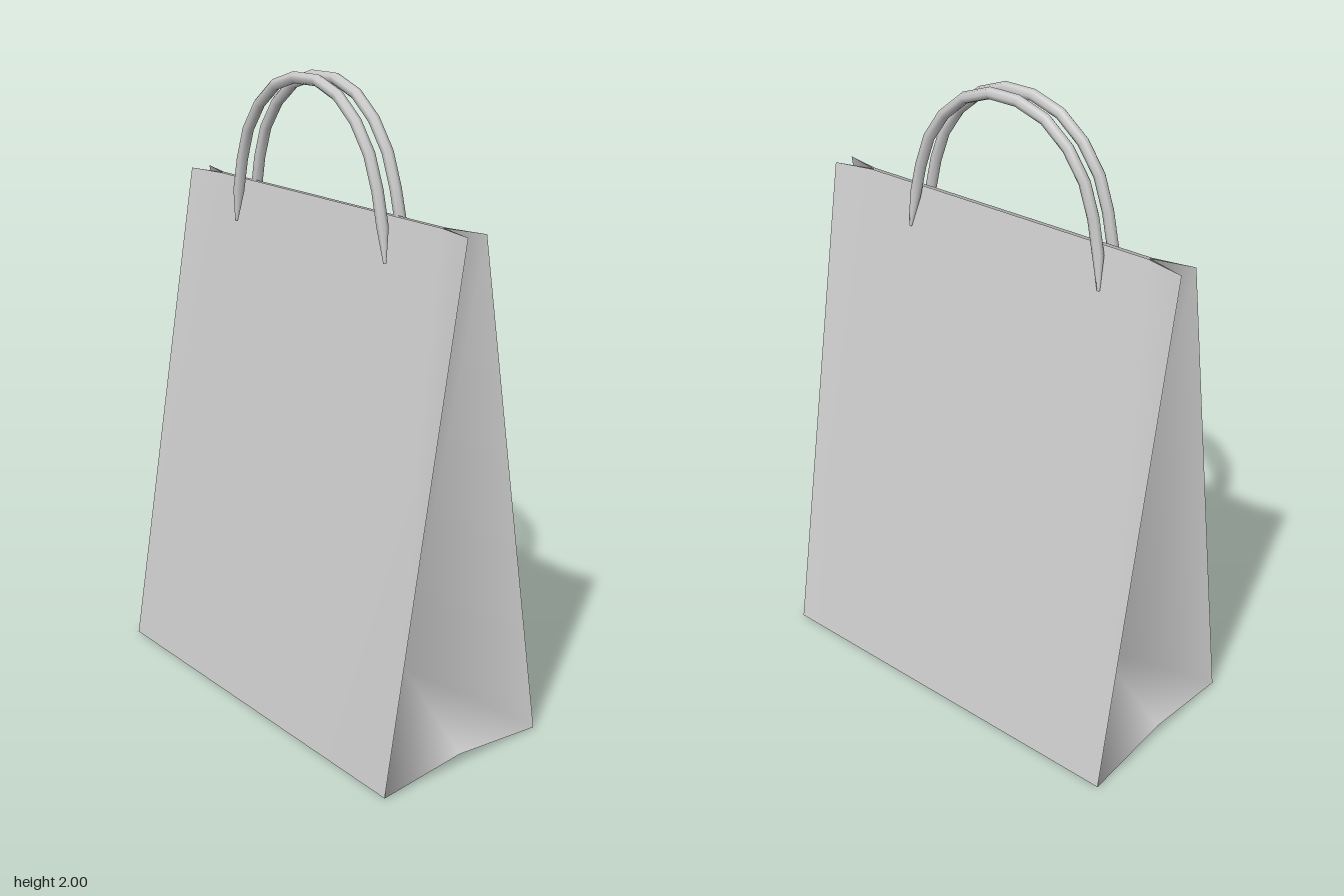
import * as THREE from 'three';

const material = new THREE.MeshStandardMaterial({ color: 0xcccccc, side: THREE.DoubleSide });
const TOP = 1.63;   // height of the bag mouth
const D = 0.66;     // half length of the wide panels

// Thin paper sheet from corner points and triangles; flip reverses the facing
function sheet(name, points, tris, flip = false) {
  const g = new THREE.BufferGeometry();
  g.setAttribute('position', new THREE.Float32BufferAttribute(points.flat(), 3));
  g.setIndex(tris.flatMap(([a, b, c]) => (flip ? [a, c, b] : [a, b, c])));
  g.computeVertexNormals();
  const mesh = new THREE.Mesh(g, material);
  mesh.name = name;
  return mesh;
}

// The right side is slightly skewed at the bottom
const bottomX = (sx, sz) => (sx > 0 ? 0.32 : sz > 0 ? -0.3 : -0.32);
const bottomCorner = (sx, sz) => [bottomX(sx, sz), 0, sz * D];
const topCorner = (sx, sz) => [sx * 0.035, TOP, sz * D];

// Wide panel, pinched together along the middle of its top edge
function panel(sx) {
  const pinchX = sx * 0.007 - 0.003;
  return sheet(sx > 0 ? 'leftPanel' : 'rightPanel', [
    bottomCorner(sx, -1), bottomCorner(sx, 1), topCorner(sx, -1),
    [pinchX, TOP, -0.53], [pinchX, TOP, 0.53], topCorner(sx, 1),
  ], [[0, 2, 3], [0, 3, 4], [0, 4, 1], [1, 4, 5]], sx < 0);
}

// Narrow end, folded inward along its middle crease
function gusset(sz) {
  return sheet(sz > 0 ? 'frontGusset' : 'backGusset', [
    bottomCorner(-1, sz), bottomCorner(1, sz), [0, 0.03, sz * D],
    [0, 0.21, sz * 0.4], [-0.003, TOP, sz * 0.53],
    topCorner(-1, sz), topCorner(1, sz),
  ], [[2, 1, 3], [1, 6, 3], [3, 6, 4], [0, 2, 3], [0, 3, 5], [3, 4, 5]], sz < 0);
}

// Base with a slight rise along its centre line
function base() {
  return sheet('base', [
    bottomCorner(-1, -1), [0, 0.03, -D], bottomCorner(1, -1),
    bottomCorner(-1, 1), [0, 0.03, D], bottomCorner(1, 1),
  ], [[0, 1, 4], [0, 4, 3], [1, 2, 5], [1, 5, 4]]);
}

// Arched cord handle with both ends tapering against the panel
function handle(name, x, endX) {
  const path = [
    [0.342, 1.5], [0.325, 1.62], [0.295, 1.73], [0.25, 1.83], [0.155, 1.93], [0.05, 1.98],
    [-0.09, 1.98], [-0.2, 1.935], [-0.3, 1.83], [-0.342, 1.73], [-0.368, 1.62], [-0.385, 1.5],
  ].map(([z, y]) => new THREE.Vector3(y < 1.55 ? endX : x, y, z));
  const curve = new THREE.CatmullRomCurve3(path, false, 'centripetal');
  const segments = 13, sides = 7;
  const g = new THREE.TubeGeometry(curve, segments, 0.018, sides);
  const pos = g.attributes.position, v = new THREE.Vector3();
  for (let i = 0; i < pos.count; i++) {
    const ring = Math.floor(i / (sides + 1));
    if (ring === 0 || ring === segments) {
      const end = path[ring === 0 ? 0 : path.length - 1];
      v.fromBufferAttribute(pos, i).lerp(end, 0.75);
      pos.setXYZ(i, v.x, v.y, v.z);
    }
  }
  const mesh = new THREE.Mesh(g, material);
  mesh.name = name;
  return mesh;
}

export function createModel() {
  const bag = new THREE.Group();
  bag.name = 'paperBag';
  for (const s of [-1, 1]) bag.add(panel(s), gusset(s));
  bag.add(base());
  bag.add(handle('leftHandle', 0.018, 0.032), handle('rightHandle', -0.05, -0.052));
  return bag;
}
